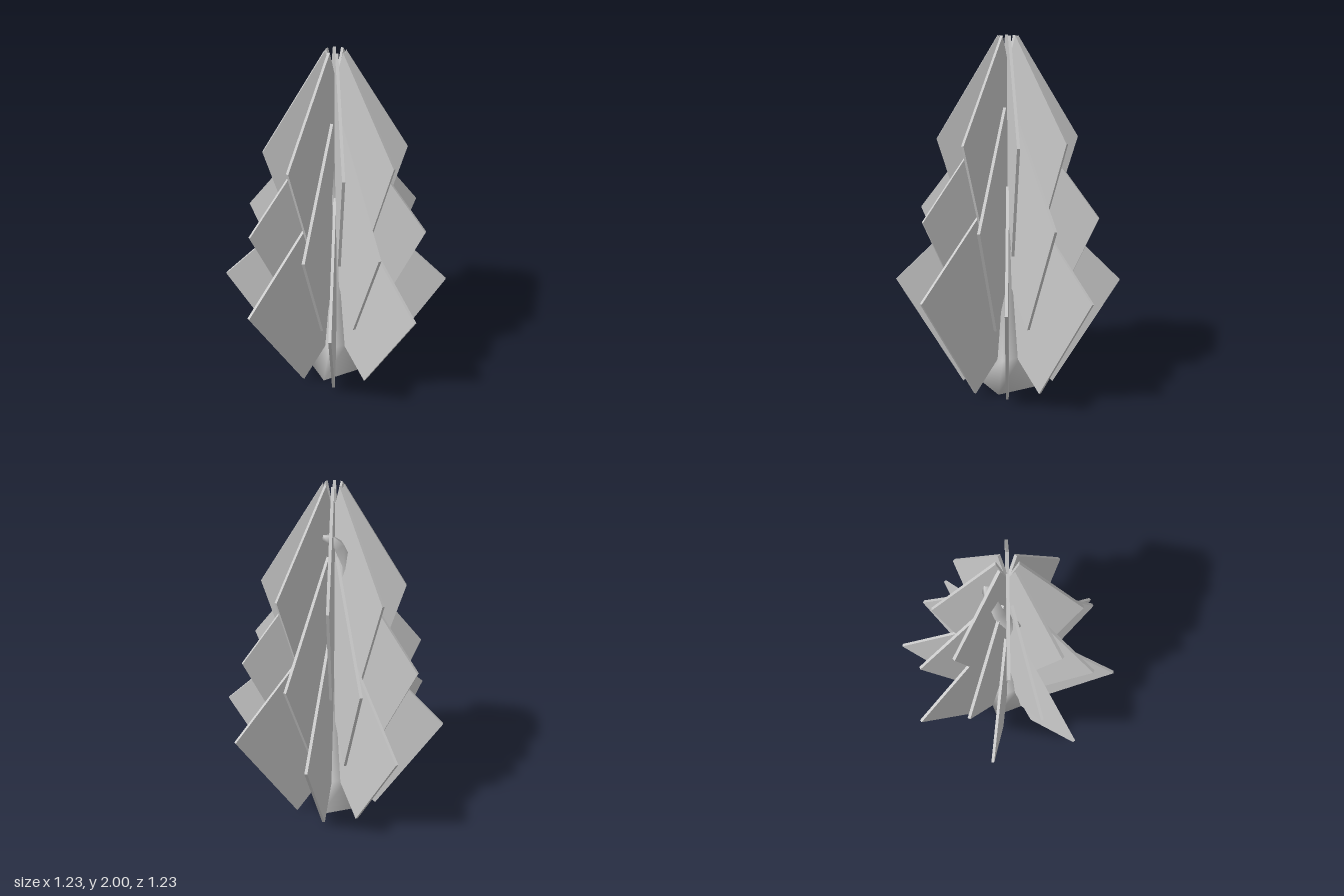
import * as THREE from 'three';

const material = new THREE.MeshStandardMaterial({ color: 0xcccccc });
const trunkMaterial = new THREE.MeshStandardMaterial({ color: 0xcccccc, side: THREE.DoubleSide });
const THICKNESS = 0.016;

// Each tier: fin outline as [radius, height], and the turn of its first fin in degrees
const TIERS = [
  { name: 'lowerFoliage', turn: 29, outline: [[0.26, 0.02], [0.635, 0.64], [0.075, 1.19], [0.005, 1.03], [0.09, 0.18]] },
  { name: 'middleFoliage', turn: 0, outline: [[0.24, 0.41], [0.517, 1.03], [0.06, 1.62], [0.005, 1.45], [0.06, 0.6]] },
  { name: 'upperFoliage', turn: 20.3, outline: [[0.2, 0.83], [0.39, 1.45], [0.055, 2.0], [0.002, 1.83], [0.03, 1.1]] },
];

// Eight thin upright fins spread around the trunk
function createTier({ name, turn, outline }) {
  const tier = new THREE.Group();
  tier.name = name;
  const shape = new THREE.Shape(outline.map(([r, y]) => new THREE.Vector2(r, y)));
  const geometry = new THREE.ExtrudeGeometry(shape, { depth: THICKNESS, bevelEnabled: false });
  geometry.translate(0, 0, -THICKNESS / 2);
  for (let i = 0; i < 8; i++) {
    const fin = new THREE.Mesh(geometry, material);
    fin.name = 'foliageFin';
    fin.rotation.y = -THREE.MathUtils.degToRad(turn + 45 * i);
    tier.add(fin);
  }
  return tier;
}

// Trunk: four-sided sections [x, y, z, half width] with a flared foot and a curled tip
function createTrunk() {
  const sections = [
    [-0.013, 0, -0.004, 0.126], [-0.012, 0.17, 0, 0.06], [-0.005, 0.5, 0.005, 0.042],
    [0.01, 0.85, 0.02, 0.04], [-0.01, 1.15, 0.03, 0.04], [-0.065, 1.4, 0, 0.035],
    [-0.055, 1.58, -0.07, 0.03], [0, 1.7, -0.097, 0.025], [0.045, 1.74, -0.09, 0.02],
    [0.08, 1.745, -0.085, 0.013],
  ];
  const centres = sections.map(([x, y, z]) => new THREE.Vector3(x, y, z));
  const up = new THREE.Vector3(0, 1, 0);
  const positions = [];
  const index = [];
  sections.forEach(([, , , half], i) => {
    const along = i === 0 ? up
      : centres[Math.min(i + 1, centres.length - 1)].clone().sub(centres[i - 1]).normalize();
    const tilt = new THREE.Quaternion().setFromUnitVectors(up, along);
    for (let k = 0; k < 4; k++) {
      const a = Math.PI / 4 + k * Math.PI / 2;
      const corner = new THREE.Vector3(Math.cos(a), 0, Math.sin(a))
        .multiplyScalar(half * Math.SQRT2).applyQuaternion(tilt).add(centres[i]);
      positions.push(...corner.toArray());
      if (i > 0) {
        const a0 = (i - 1) * 4 + k, b0 = (i - 1) * 4 + (k + 1) % 4;
        index.push(a0, a0 + 4, b0, b0, a0 + 4, b0 + 4);
      }
    }
  });
  // Close the foot and the tip
  const t = (sections.length - 1) * 4;
  index.push(0, 1, 2, 0, 2, 3, t, t + 2, t + 1, t, t + 3, t + 2);
  const geometry = new THREE.BufferGeometry();
  geometry.setAttribute('position', new THREE.Float32BufferAttribute(positions, 3));
  geometry.setIndex(index);
  geometry.computeVertexNormals();
  const trunk = new THREE.Mesh(geometry, trunkMaterial);
  trunk.name = 'trunk';
  return trunk;
}

export function createModel() {
  const tree = new THREE.Group();
  tree.name = 'tree';
  tree.add(createTrunk(), ...TIERS.map(createTier));
  return tree;
}
